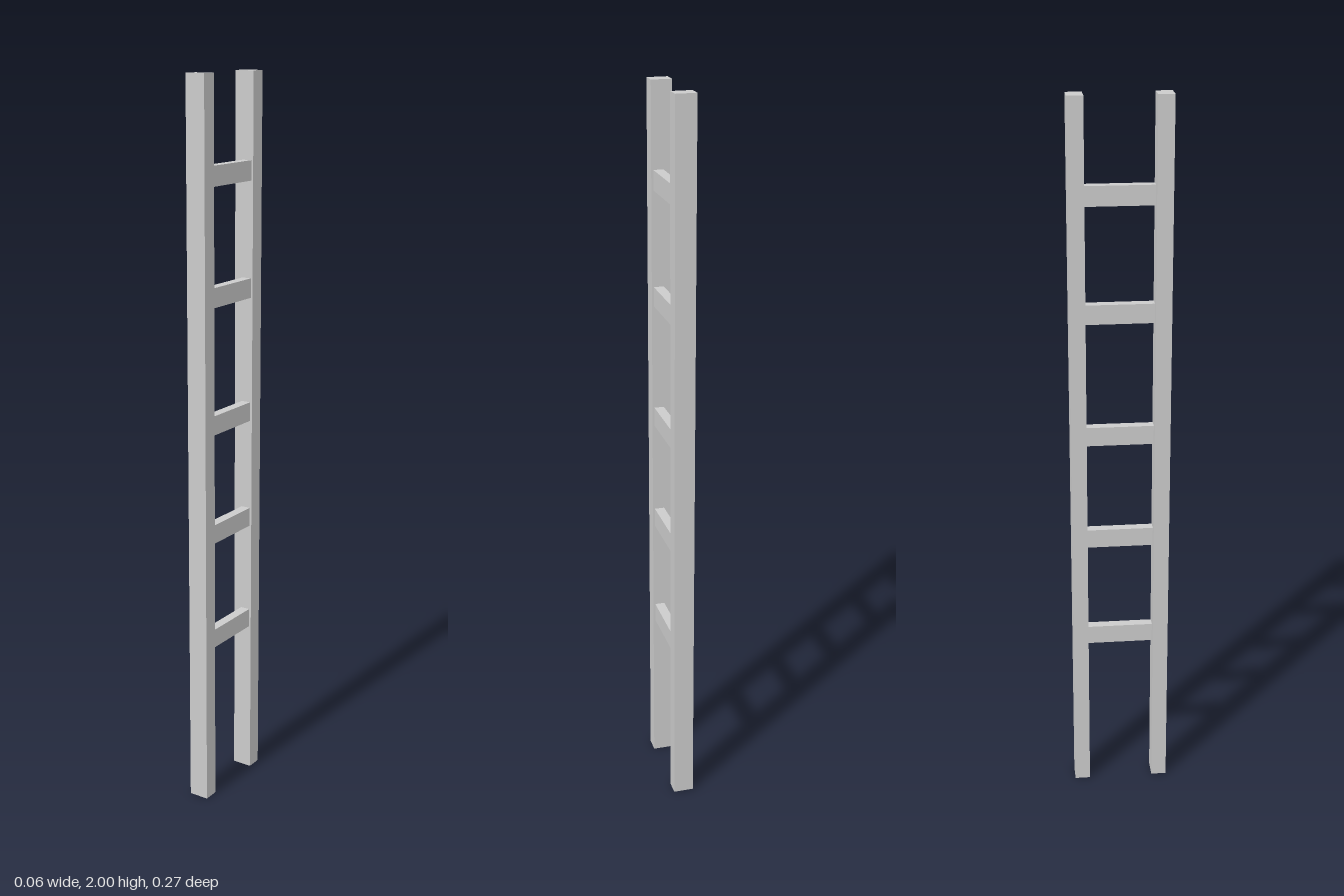
import * as THREE from 'three';

export function createModel() {
  const group = new THREE.Group();
  const material = new THREE.MeshStandardMaterial({ color: 0xcccccc, flatShading: true });

  const addBox = (name, size, position) => {
    const mesh = new THREE.Mesh(new THREE.BoxGeometry(...size), material);
    mesh.name = name;
    mesh.position.set(...position);
    group.add(mesh);
  };

  // Two upright rails
  const railDepth = 0.043, railZ = 0.1135;
  addBox('frontRail', [0.056, 2, railDepth], [0, 1, railZ]);
  addBox('backRail', [0.056, 2, railDepth], [0, 1, -railZ]);

  // Rungs between the rails, set slightly towards +x and unevenly spaced
  const rungLength = 2 * railZ - railDepth + 0.002;
  [0.474, 0.781, 1.088, 1.432, 1.745].forEach((y, i) => {
    addBox(`rung${i + 1}`, [0.027, 0.053, rungLength], [0.009, y, 0]);
  });

  return group;
}
